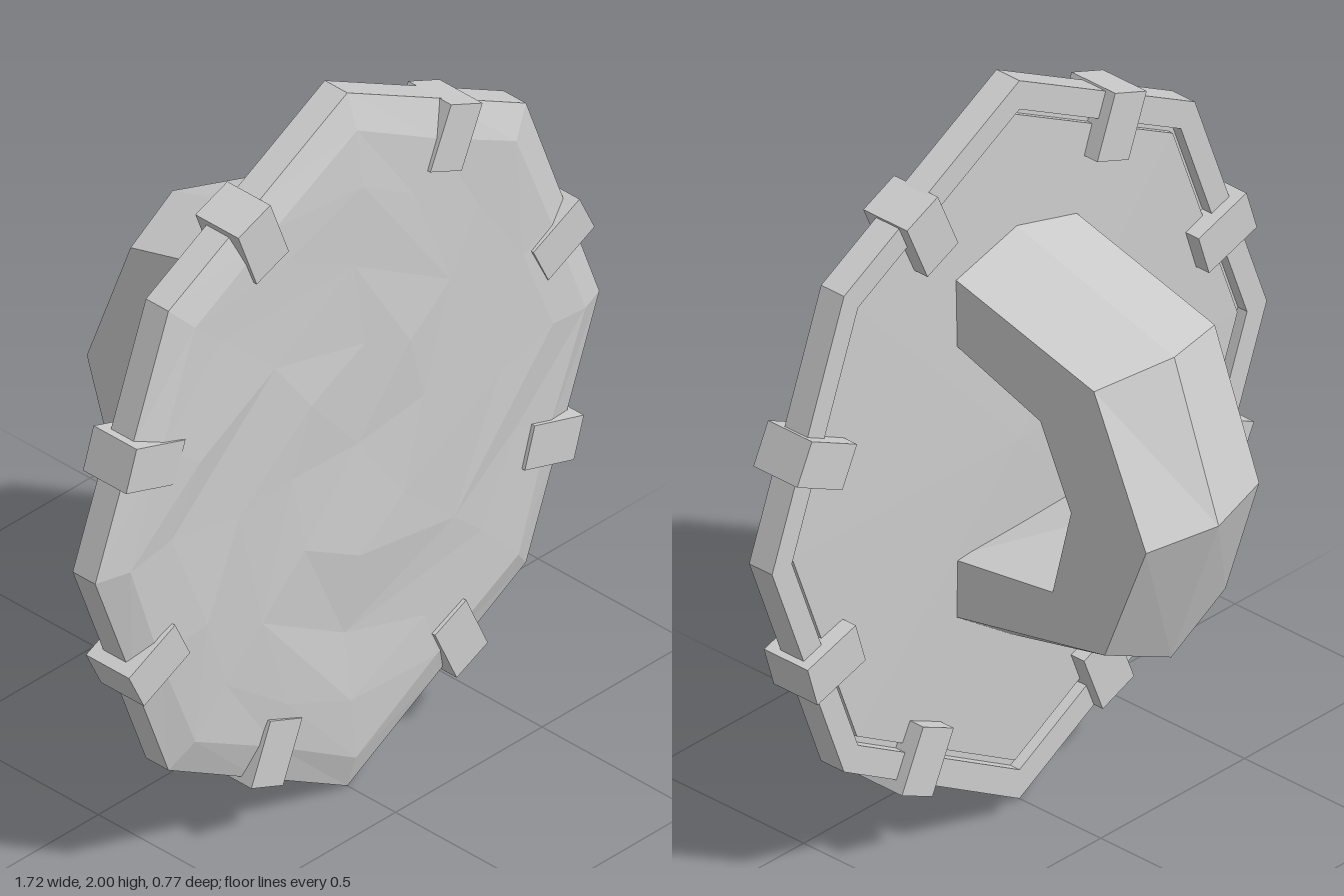
import * as THREE from 'three';

const material = new THREE.MeshStandardMaterial({ color: 0xcccccc, flatShading: true });
const CY = 1.005; // height of the shield's centre
const N = 16;

// Octagon corners, relative to the centre, counter-clockwise from +x
const corners = [
  [0.86, 0], [0.61, 0.665], [0, 0.995], [-0.61, 0.665],
  [-0.86, 0], [-0.61, -0.66], [0, -1.005], [0.61, -0.66],
];

let seed = 7;
function rand() { // seeded, -1 to 1
  seed = (seed * 16807) % 2147483647;
  return (seed / 2147483647) * 2 - 1;
}

// Octagon ring of 16 points (corners and edge midpoints)
function ring(scale, z, jitter = 0, jitterZ = 0) {
  return Array.from({ length: N }, (_, i) => {
    const a = corners[i >> 1];
    const b = corners[((i + 1) >> 1) % 8];
    return new THREE.Vector3(
      (a[0] + b[0]) / 2 * scale + rand() * jitter,
      CY + (a[1] + b[1]) / 2 * scale + rand() * jitter,
      z + rand() * jitterZ);
  });
}

// Every second point doubled, so the facets get larger towards the middle
const coarse = (pts) => pts.map((_, i) => pts[i - (i % 2)]);
const point = (z) => Array.from({ length: N }, () => new THREE.Vector3(0, CY, z));

// Skin of closed loops, skipping collapsed triangles
function loft(name, loops) {
  const pos = [];
  const tri = (a, b, c) => {
    if (a.equals(b) || b.equals(c) || c.equals(a)) return;
    for (const p of [a, b, c]) pos.push(p.x, p.y, p.z);
  };
  for (let k = 0; k + 1 < loops.length; k++) {
    const p = loops[k], q = loops[k + 1], n = p.length;
    for (let i = 0; i < n; i++) {
      const j = (i + 1) % n;
      tri(p[i], q[i], q[j]);
      tri(p[i], q[j], p[j]);
    }
  }
  const geometry = new THREE.BufferGeometry();
  geometry.setAttribute('position', new THREE.Float32BufferAttribute(pos, 3));
  geometry.computeVertexNormals();
  const mesh = new THREE.Mesh(geometry, material);
  mesh.name = name;
  return mesh;
}

export function createModel() {
  const group = new THREE.Group();
  group.name = 'shield';

  // Hammered front face with a bevelled edge
  group.add(loft('frontFace', [
    point(0.375),
    coarse(ring(0.3, 0.38, 0.035, 0.008)),
    coarse(ring(0.52, 0.375, 0.045, 0.011)),
    ring(0.74, 0.375, 0.03, 0.008),
    ring(0.9, 0.368, 0.008, 0.004),
    ring(1, 0.34),
  ]));

  // Rim: outer edge, back band and the step down to the panel
  group.add(loft('rim', [
    ring(1, 0.34), ring(1, 0.265), ring(0.92, 0.265), ring(0.92, 0.295), ring(0.9, 0.295),
  ]));

  // Shallow cone panel on the back
  group.add(loft('backPanel', [ring(0.9, 0.295), ring(0.9, 0.28), point(0.262)]));

  // Handle: stations of [z, y] for outer right, ridge, outer left, inner left, inner right
  const across = [0.21, 0, -0.21, -0.21, 0.21];
  const stations = [
    [[0.3, 1.54], [0.3, 1.6], [0.3, 1.54], [0.3, 1.37], [0.3, 1.36]],
    [[-0.175, 1.41], [-0.24, 1.44], [-0.175, 1.41], [0.02, 1.26], [0, 1.255]],
    [[-0.345, 1.03], [-0.385, 1.03], [-0.32, 1.03], [-0.06, 1.04], [-0.1, 1.04]],
    [[-0.21, 0.69], [-0.23, 0.6], [-0.21, 0.69], [0.02, 0.83], [-0.04, 0.795]],
    [[0.3, 0.59], [0.3, 0.445], [0.3, 0.59], [0.3, 0.76], [0.3, 0.75]],
  ];
  group.add(loft('handle', stations.map((s) =>
    s.map(([z, y], i) => new THREE.Vector3(across[i], y, z)))));

  // Clamps gripping the rim: x, y, outward angle in degrees
  const clamps = [
    [-0.325, 1.74, 111], [0.333, 1.725, 66], [0.7, 1.25, 26], [0.667, 0.68, -17],
    [0.35, 0.27, -65], [-0.28, 0.25, -112], [-0.68, 0.7, 206], [-0.693, 1.28, 162],
  ];
  const clampGeometry = new THREE.BoxGeometry(0.175, 0.117, 0.143);
  clamps.forEach(([x, y, angle], i) => {
    const clamp = new THREE.Mesh(clampGeometry, material);
    clamp.name = `clamp${i + 1}`;
    clamp.position.set(x, y, 0.307);
    clamp.rotation.z = THREE.MathUtils.degToRad(angle);
    group.add(clamp);
  });

  return group;
}
